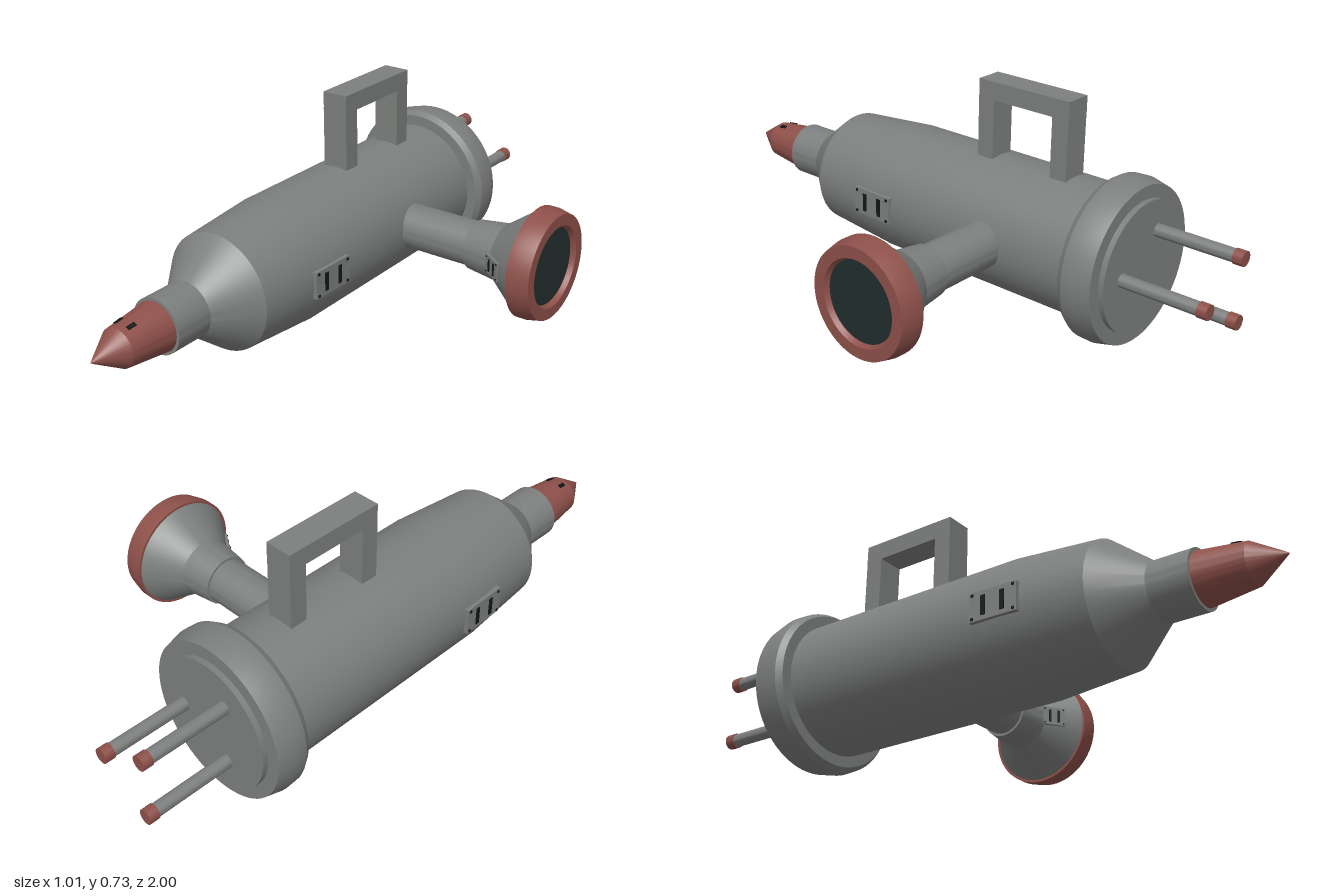
import * as THREE from 'three';
import { toCreasedNormals } from 'three/addons/utils/BufferGeometryUtils.js';

const AX = -0.24, AY = 0.27, ARM_Z = -0.25; // main axis and arm axis

export function createModel() {
  const model = new THREE.Group();
  const mat = (name, color) => {
    const m = new THREE.MeshStandardMaterial({ color });
    m.name = name;
    return m;
  };
  const grey = mat('grey metal', 0x7c7f7d);
  const red = mat('dull red', 0x8e504a);
  const glass = mat('dark glass', 0x222d2d);
  const black = mat('slot black', 0x141616);

  const add = (name, geo, material, x = 0, y = 0, z = 0, parent = model) => {
    const m = new THREE.Mesh(geo, material);
    m.name = name;
    m.position.set(x, y, z);
    parent.add(m);
    return m;
  };
  // turned solid: profile of [position along axis, radius]
  const turned = (profile, axis, segments = 64) => {
    const g = new THREE.LatheGeometry(profile.map(([p, r]) => new THREE.Vector2(r, p)), segments);
    if (axis === 'z') g.rotateX(Math.PI / 2);
    else g.rotateZ(-Math.PI / 2);
    return toCreasedNormals(g, 0.3);
  };
  const alongZ = (name, profile, material, x = AX, y = AY, seg = 64) =>
    add(name, turned(profile, 'z', seg), material, x, y, 0);
  const alongX = (name, profile, material) =>
    add(name, turned(profile, 'x'), material, 0, AY, ARM_Z);

  // main barrel, rear collar and end plate
  alongZ('body', [[-0.6, 0.215], [0.22, 0.215], [0.49, 0.193], [0.62, 0.09], [0.75, 0.09], [0.75, 0]], grey);
  alongZ('rearCollar', [[-0.69, 0], [-0.69, 0.252], [-0.635, 0.265], [-0.595, 0.263], [-0.575, 0.25], [-0.575, 0.21]], grey);
  alongZ('rearPlate', [[-0.708, 0], [-0.708, 0.21], [-0.68, 0.21]], grey);

  // pointed nose with two slots on top
  alongZ('nose', [[0.745, 0], [0.745, 0.081], [0.9, 0.063], [0.985, 0.01], [1, 0]], red);
  for (const s of [-1, 1]) {
    const a = s * 0.39, r = 0.066;
    const slot = add('noseSlot', new THREE.BoxGeometry(0.013, 0.008, 0.028), black,
      AX + Math.sin(a) * r, AY + Math.cos(a) * r, 0.865);
    slot.rotation.order = 'ZXY';
    slot.rotation.set(0.12, 0, -a);
  }

  // three rear prongs with red tips
  for (let i = 0; i < 3; i++) {
    const a = (i * Math.PI * 2) / 3;
    const x = AX + Math.cos(a) * 0.118, y = AY + Math.sin(a) * 0.118;
    alongZ('prong', [[-0.97, 0.021], [-0.7, 0.021]], grey, x, y, 24);
    alongZ('prongTip', [[-1, 0], [-1, 0.024], [-0.968, 0.024], [-0.968, 0]], red, x, y, 24);
  }

  // carrying handle
  add('handleBar', new THREE.BoxGeometry(0.09, 0.06, 0.345), grey, AX, 0.705, -0.268);
  for (const z of [-0.125, -0.41])
    add('handleLeg', new THREE.BoxGeometry(0.09, 0.24, 0.06), grey, AX, 0.56, z);

  // side arm, flare, red rim and recessed lens
  alongX('arm', [[-0.1, 0.075], [0.22, 0.075]], grey);
  alongX('flare', [[0.215, 0], [0.215, 0.083], [0.32, 0.096], [0.43, 0.176]], grey);
  alongX('lensRim', [[0.43, 0], [0.43, 0.184], [0.46, 0.184], [0.505, 0.174], [0.505, 0.136], [0.49, 0.128], [0.47, 0.128]], red);
  alongX('lens', [[0.47, 0.13], [0.488, 0.129], [0.488, 0]], glass);

  // vent plate with two slots and corner rivets, facing local +z
  const vent = (name, w, h, depth) => {
    const g = new THREE.Group();
    g.name = name;
    add('ventPlate', new THREE.BoxGeometry(w, h, depth), grey, 0, 0, -depth / 2, g);
    for (const s of [-1, 1]) {
      add('ventSlot', new THREE.BoxGeometry(w * 0.09, h * 0.68, 0.006), black, s * w * 0.2, 0, 0, g);
      for (const t of [-1, 1])
        add('ventRivet', new THREE.BoxGeometry(w * 0.05, w * 0.05, 0.006), black, s * w * 0.43, t * h * 0.41, 0, g);
    }
    model.add(g);
    return g;
  };
  for (const s of [-1, 1]) {
    const v = vent('sideVent', 0.16, 0.09, 0.018);
    v.position.set(AX + s * 0.222, AY, 0.21);
    v.rotation.y = s * (Math.PI / 2 - 0.03);
  }
  const flareVent = vent('flareVent', 0.078, 0.062, 0.012);
  flareVent.position.set(0.342, AY, ARM_Z + 0.119);
  flareVent.rotation.y = -0.58;

  return model;
}
